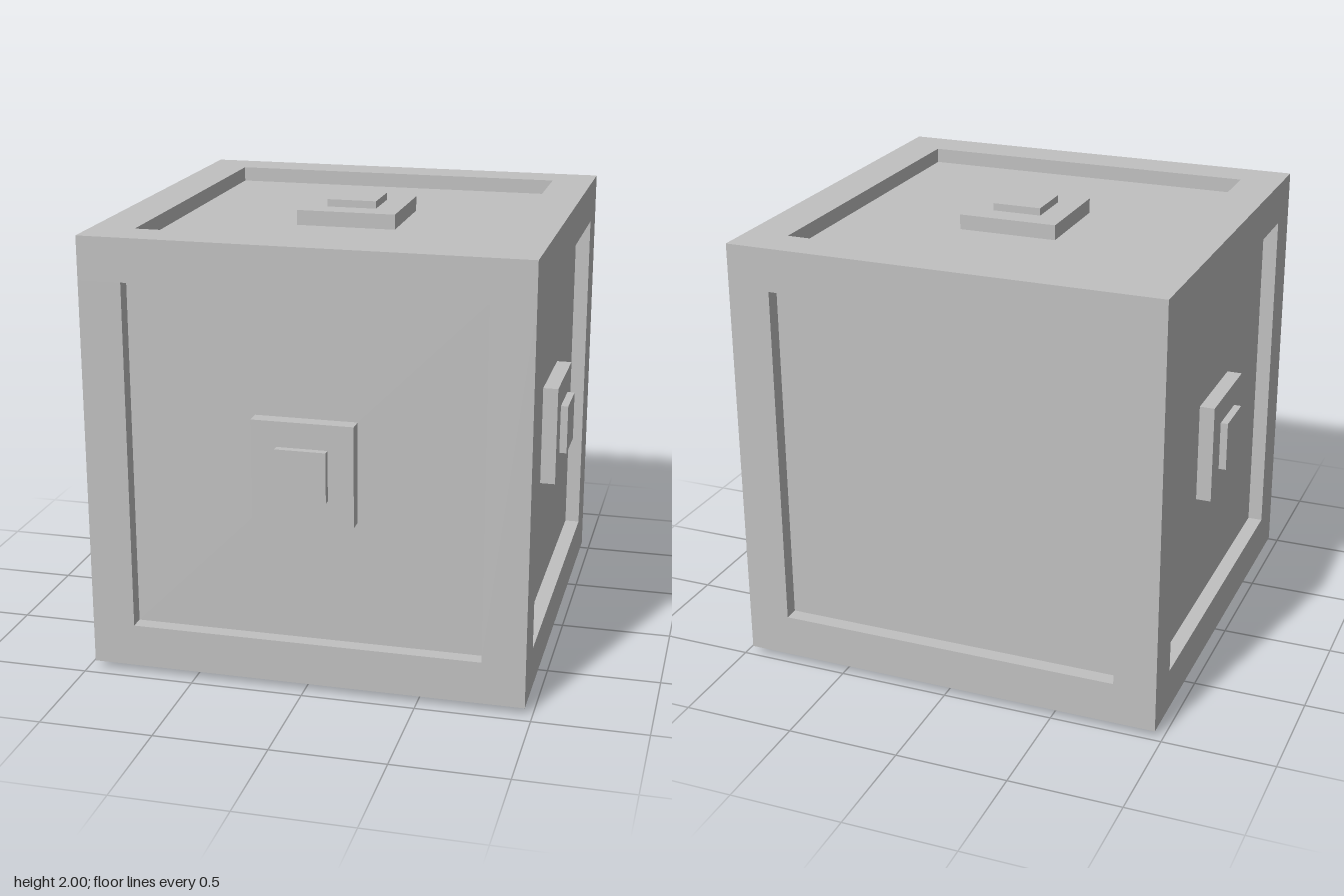
import * as THREE from 'three';

const HALF = 0.967;      // half size of the framed cube
const OPEN = 0.777;      // half size of each recessed opening
const DEPTH = 0.067;     // recess depth
const TIP = 0.033;       // how far the buttons stand out

export function createModel() {
  const model = new THREE.Group();
  const grey = new THREE.MeshStandardMaterial({ color: 0xc0c0c0 });
  grey.name = 'grey';

  const cube = new THREE.Group();
  cube.name = 'cube';
  cube.position.set(0, 1, -TIP / 2);
  model.add(cube);

  function box(parent, name, size, pos) {
    const mesh = new THREE.Mesh(new THREE.BoxGeometry(...size), grey);
    mesh.name = name;
    mesh.position.set(...pos);
    parent.add(mesh);
  }

  // Core whose faces are the recessed panels
  const core = 2 * (HALF - DEPTH);
  box(cube, 'core', [core, core, core], [0, 0, 0]);

  // Twelve frame beams; the x beams carry the corners
  const w = HALF - OPEN, c = (HALF + OPEN) / 2;
  for (const a of [-c, c]) {
    for (const b of [-c, c]) {
      box(cube, 'beamX', [2 * HALF, w, w], [0, a, b]);
      box(cube, 'beamY', [w, 2 * OPEN, w], [a, 0, b]);
      box(cube, 'beamZ', [w, w, 2 * OPEN], [a, b, 0]);
    }
  }

  // Stepped button on every side but the back
  const turns = {
    front: [0, 0], left: [0, Math.PI / 2], right: [0, -Math.PI / 2],
    top: [-Math.PI / 2, 0], bottom: [Math.PI / 2, 0],
  };
  for (const [side, [rx, ry]] of Object.entries(turns)) {
    const button = new THREE.Group();
    button.name = side + 'Button';
    button.rotation.set(rx, ry, 0);
    box(button, 'buttonBase', [0.446, 0.446, DEPTH], [0, 0, HALF - DEPTH / 2]);
    box(button, 'buttonTip', [0.222, 0.222, TIP], [0, 0, HALF + TIP / 2]);
    cube.add(button);
  }

  return model;
}
